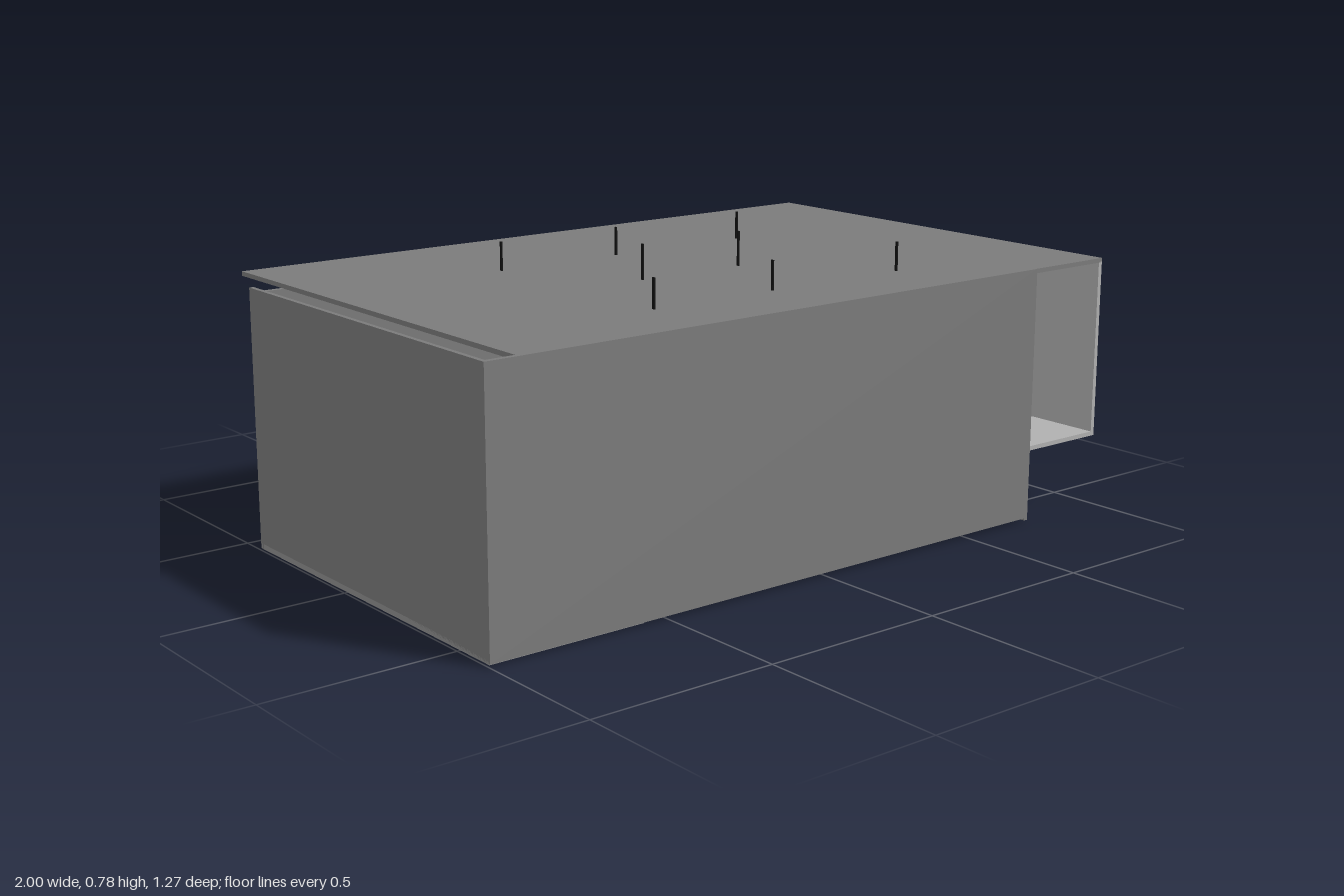
import * as THREE from 'three';

const paint = (color) => new THREE.MeshStandardMaterial({ color });
const dark = paint(0x7b7b7b), light = paint(0xb0b0b0), floorGrey = paint(0x8f8f8f);
const rugGrey = paint(0x757575), padGrey = paint(0x505050);
const navy = paint(0x2f4454), yellow = paint(0xb8a41c), black = paint(0x111111);
const T = 0.012; // panel thickness

export function createModel() {
  const model = new THREE.Group();

  const group = (name) => {
    const g = new THREE.Group();
    g.name = name;
    model.add(g);
    return g;
  };
  const add = (parent, name, geometry, material) => {
    const mesh = new THREE.Mesh(geometry, material);
    mesh.name = name;
    parent.add(mesh);
    return mesh;
  };
  // Box given by its limits on each axis
  const block = (parent, name, [x0, x1], [y0, y1], [z0, z1], material) => {
    const mesh = add(parent, name, new THREE.BoxGeometry(x1 - x0, y1 - y0, z1 - z0), material);
    mesh.position.set((x0 + x1) / 2, (y0 + y1) / 2, (z0 + z1) / 2);
    return mesh;
  };
  const rect = (Type, [u0, u1], [v0, v1]) => new Type([
    new THREE.Vector2(u0, v0), new THREE.Vector2(u1, v0),
    new THREE.Vector2(u1, v1), new THREE.Vector2(u0, v1)]);
  // Upright panel with one window, extruded along +z
  const windowWall = (parent, name, u, v, holeU, holeV, material) => {
    const shape = rect(THREE.Shape, u, v);
    shape.holes.push(rect(THREE.Path, holeU, holeV));
    return add(parent, name, new THREE.ExtrudeGeometry(shape, { depth: T, bevelEnabled: false }), material);
  };

  // Main room, with a left bay set off by a fine step
  const room = group('mainRoom');
  block(room, 'floorLeftBay', [-1, -0.57], [0.006, 0.02], [-0.42, 0.63], floorGrey);
  block(room, 'floorMainBay', [-0.57, 0.735], [0.008, 0.02], [-0.42, 0.63], floorGrey);
  block(room, 'frontWall', [-1, 0.735], [0.008, 0.69], [0.63 - T, 0.632], dark);
  block(room, 'sideWall', [-1, -1 + T], [0.006, 0.69], [-0.424, 0.63], dark);
  block(room, 'backWallLeftBay', [-1, -0.57], [0.006, 0.678], [-0.424, -0.41], dark);
  windowWall(room, 'backWall', [-0.57, 0.735], [0.008, 0.678], [0.5, 0.68], [0.34, 0.54], dark)
    .position.z = -0.422;
  const inner = windowWall(room, 'windowWall', [-0.632, 0.422], [0.002, 0.678], [-0.51, -0.1], [0.33, 0.54], dark);
  inner.rotation.y = Math.PI / 2;
  inner.position.x = 0.727;

  // Raised gallery wrapping the side and the back corner
  const gallery = group('gallery');
  block(gallery, 'gallerySideWall', [1 - T, 1], [0.195, 0.68], [-0.635, 0.63], light);
  block(gallery, 'galleryBackWall', [0.43, 1], [0.195, 0.68], [-0.635, -0.635 + T], light);
  block(gallery, 'gallerySideFloor', [0.735, 0.99], [0.195, 0.207], [-0.422, 0.63], light);
  block(gallery, 'galleryBackFloor', [0.43, 0.99], [0.195, 0.207], [-0.63, -0.422], light);
  block(gallery, 'panelUnderWindow', [0.5, 0.735], [0.207, 0.34], [-0.426, -0.42], light);
  block(gallery, 'panelOverWindow', [0.5, 0.735], [0.54, 0.678], [-0.426, -0.42], light);

  // Roof, stopping short of the side wall to leave a light slot
  block(model, 'roof', [-0.91, 1], [0.678, 0.69], [-0.637, 0.63], dark);

  // Flat rods standing on the roof
  const rods = [[-0.165, 0.107, 0.783], [0.155, 0.107, 0.783]];
  for (const x of [-0.375, 0, 0.43]) for (const z of [-0.223, 0.42]) rods.push([x, z, 0.767]);
  for (const [x, z, top] of rods)
    block(model, 'roofRod', [x - 0.002, x + 0.002], [0.69, top], [z - 0.0035, z + 0.0035], black);

  // Furniture bases set through the floor
  const bases = group('floorBases');
  const Y = [0.003, 0.03];
  block(bases, 'squareRug', [-0.3, -0.006], Y, [0.03, 0.31], rugGrey);
  block(bases, 'frontRug', [0.17, 0.415], Y, [0.415, 0.618], rugGrey);
  block(bases, 'smallBase', [-0.08, 0.04], Y, [0.36, 0.44], padGrey);
  add(bases, 'roundRug', new THREE.CylinderGeometry(0.13, 0.13, 0.028, 32), light)
    .position.set(0.125, 0.0155, 0.175);
  add(bases, 'yellowWedge', new THREE.CylinderGeometry(0.05, 0.05, 0.03, 3), yellow)
    .position.set(0.17, 0.015, 0.13);
  const pad = add(bases, 'roundedBase', new THREE.CylinderGeometry(0.1, 0.1, 0.026, 8), padGrey);
  pad.position.set(-0.21, 0.0175, -0.235);
  pad.scale.z = 0.65;

  // Furniture seen through the roof slot
  for (const z of [[-0.32, -0.27], [-0.25, -0.19]])
    block(model, 'seatCushion', [-0.98, -0.86], [0.02, 0.14], z, navy);
  block(model, 'seatDivider', [-0.98, -0.86], [0.02, 0.15], [-0.27, -0.25], floorGrey);
  block(model, 'yellowOrnament', [-0.925, -0.9], [0.14, 0.15], [-0.25, -0.24], yellow);
  block(model, 'benchStep', [-0.98, -0.8], [0.02, 0.06], [0.4, 0.485], floorGrey);
  block(model, 'benchTop', [-0.98, -0.8], [0.06, 0.1], [0.435, 0.455], floorGrey);

  return model;
}
